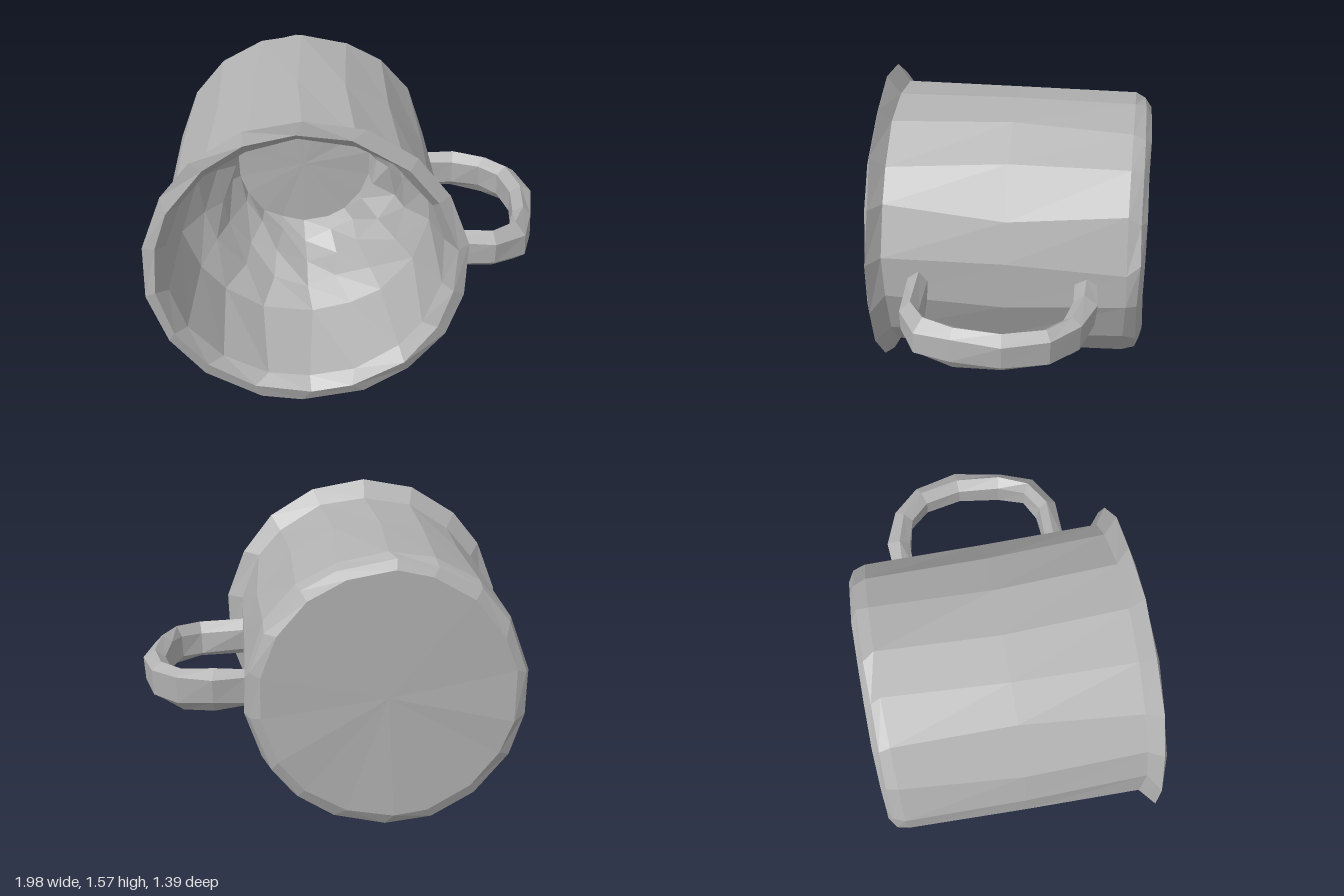
import * as THREE from 'three';
import { mergeVertices } from 'three/addons/utils/BufferGeometryUtils.js';

// Small seeded generator, returns -1..1
function makeNoise(seed) {
  return () => {
    seed = (seed * 16807) % 2147483647;
    return (seed / 2147483647) * 2 - 1;
  };
}

// Split the faces so every one gets its own flat normal
function faceted(geometry) {
  const flat = geometry.toNonIndexed();
  flat.computeVertexNormals();
  return flat;
}

// Turned shape along z with slightly uneven vertices; profile is [radius, z]
function turned(profile, sides, amount, seed) {
  const points = profile.map(([r, z]) => new THREE.Vector2(r, z));
  let g = new THREE.LatheGeometry(points, sides);
  g.rotateX(Math.PI / 2);
  g.deleteAttribute('uv');
  g.deleteAttribute('normal');
  g = mergeVertices(g, 1e-4);
  const noise = makeNoise(seed);
  const p = g.attributes.position;
  for (let i = 0; i < p.count; i++) {
    const r = Math.hypot(p.getX(i), p.getY(i));
    if (r < 0.01) continue;
    const k = amount(r, p.getZ(i));
    const angle = Math.atan2(p.getY(i), p.getX(i)) + noise() * 0.05;
    const radius = r + noise() * k;
    p.setXYZ(i, radius * Math.cos(angle), radius * Math.sin(angle), p.getZ(i) + noise() * k);
  }
  return faceted(g);
}

// Hexagonal strap swept along a path in the xz plane
function strap(path, seed) {
  const noise = makeNoise(seed);
  const section = [[0.05, -0.06], [0.05, 0.06], [0, 0.105], [-0.05, 0.06], [-0.05, -0.06], [0, -0.105]];
  const n = section.length;
  const pos = [], index = [];
  path.forEach(([x, z, y], i) => {
    const a = path[Math.max(i - 1, 0)], b = path[Math.min(i + 1, path.length - 1)];
    const len = Math.hypot(b[0] - a[0], b[1] - a[1]);
    const tx = (b[0] - a[0]) / len, tz = (b[1] - a[1]) / len;
    section.forEach(([out, up], j) => {
      const o = out + noise() * 0.012;
      pos.push(x + tz * o, y + up + noise() * 0.012, z - tx * o);
      if (i === path.length - 1) return;
      const p = i * n + j, q = i * n + (j + 1) % n;
      index.push(p, q, p + n, q, q + n, p + n);
    });
  });
  const g = new THREE.BufferGeometry();
  g.setAttribute('position', new THREE.Float32BufferAttribute(pos, 3));
  g.setIndex(index);
  return faceted(g);
}

export function createModel() {
  const model = new THREE.Group();
  model.name = 'mug';
  const clay = new THREE.MeshStandardMaterial({ color: 0xb2b2b2 });
  clay.name = 'grey clay';
  const add = (name, geometry) => {
    const mesh = new THREE.Mesh(geometry, clay);
    mesh.name = name;
    model.add(mesh);
    return mesh;
  };

  // Mug lying on its side: base, outer wall, flared lip, inner wall, rough hollow, floor
  const profile = [
    [0, -0.69], [0.62, -0.69], [0.672, -0.66], [0.69, -0.6], [0.695, 0], [0.7, 0.6],
    [0.785, 0.665], [0.725, 0.685], [0.675, 0.62], [0.655, 0.07],
    [0.56, -0.06], [0.47, -0.2], [0.4, -0.34], [0.365, -0.42], [0, -0.42],
  ];
  const roughness = (r, z) => (z < 0 && z > -0.4 && r < 0.62 ? 0.035 : 0.006);
  const body = add('body', turned(profile, 18, roughness, 77));
  body.position.set(-0.21, 0.785, 0);

  // Handle loop on the left side: [x, z, y]
  const path = [
    [0.465, -0.41, 0.75], [0.62, -0.41, 0.75], [0.78, -0.36, 0.74], [0.88, -0.24, 0.735],
    [0.935, -0.04, 0.735], [0.91, 0.19, 0.73], [0.85, 0.345, 0.725], [0.72, 0.425, 0.73],
    [0.465, 0.43, 0.745],
  ];
  add('handle', strap(path, 1234));

  return model;
}
